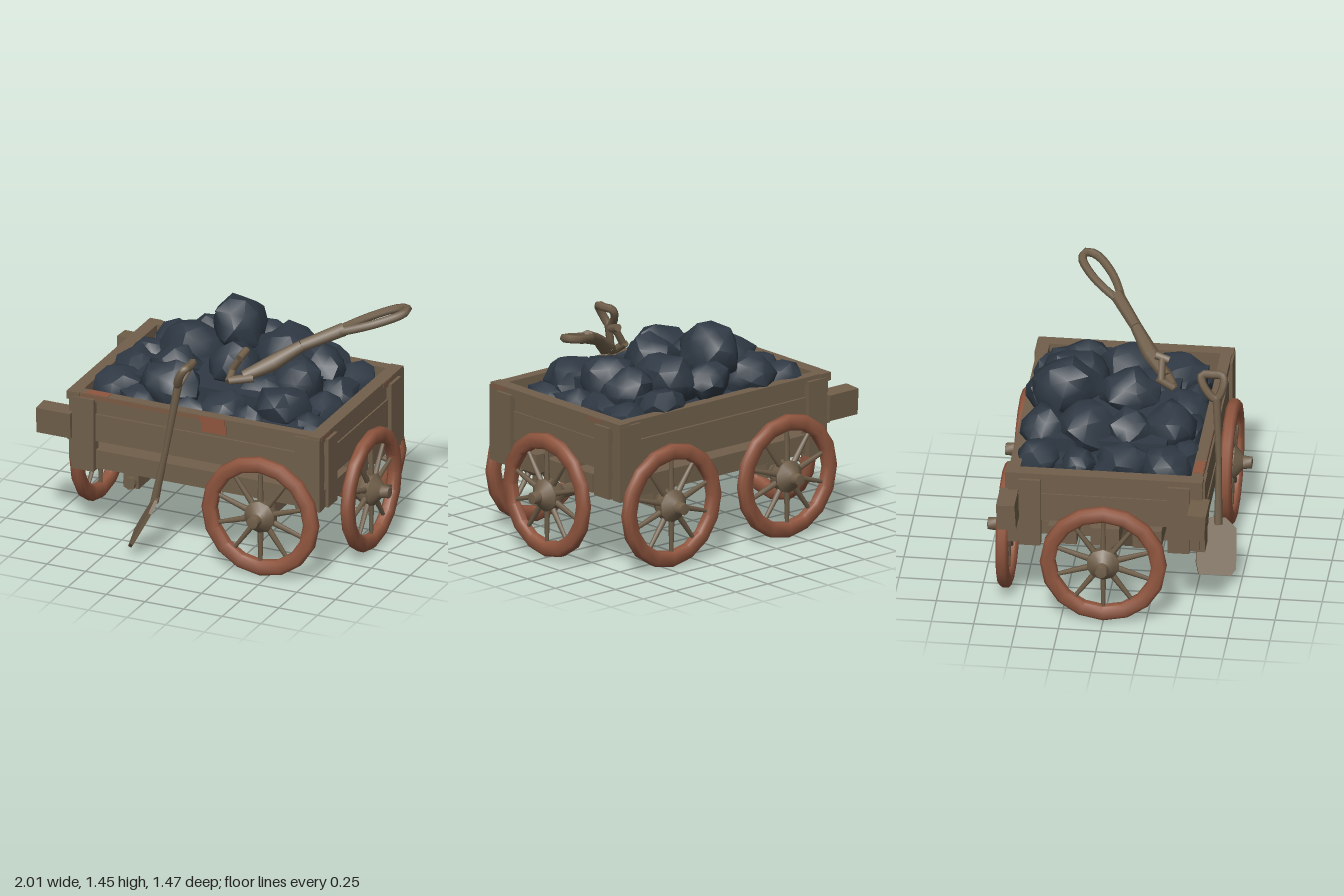
import * as THREE from 'three';
import { toCreasedNormals } from 'three/addons/utils/BufferGeometryUtils.js';

const mat = (name, color) => {
  const m = new THREE.MeshStandardMaterial({ color });
  m.name = name;
  return m;
};

export function createModel() {
  const model = new THREE.Group();
  model.name = 'coalCart';
  const wood = mat('weatheredWood', 0x705f4a);
  const rust = mat('rustyIron', 0x90563f);
  const stained = mat('rustStainedWood', 0x7c5a45);
  const coalMat = mat('coal', 0x303a45);

  const add = (name, geo, material, parent = model) => {
    const m = new THREE.Mesh(geo, material);
    m.name = name;
    parent.add(m);
    return m;
  };
  // box given by its extents
  const box = (name, x0, x1, y0, y1, z0, z1, material = wood) => {
    const m = add(name, new THREE.BoxGeometry(x1 - x0, y1 - y0, Math.abs(z1 - z0)), material);
    m.position.set((x0 + x1) / 2, (y0 + y1) / 2, (z0 + z1) / 2);
    return m;
  };
  // tapered rod between two points
  const rod = (name, a, b, ra, rb, parent = model, sides = 7) => {
    const p = new THREE.Vector3(...a), q = new THREE.Vector3(...b);
    const d = q.clone().sub(p);
    const m = add(name, new THREE.CylinderGeometry(rb, ra, d.length(), sides), wood, parent);
    m.position.copy(p).add(q).multiplyScalar(0.5);
    m.quaternion.setFromUnitVectors(new THREE.Vector3(0, 1, 0), d.normalize());
    return m;
  };
  // closed ring through points
  const ring = (name, pts, r, parent) => add(name,
    new THREE.TubeGeometry(new THREE.CatmullRomCurve3(pts, true), 24, r, 6, true), wood, parent);
  const lathe = (pts, n, crease) => toCreasedNormals(
    new THREE.LatheGeometry(pts.map(p => new THREE.Vector2(...p)), n).rotateX(Math.PI / 2), crease);

  // ---- wheels: rim, hub and ten spokes, outer side facing +z
  const rimGeo = lathe([[0.284, -0.02], [0.302, -0.035], [0.355, -0.035], [0.374, -0.018],
    [0.374, 0.018], [0.355, 0.035], [0.302, 0.035], [0.284, 0.02], [0.284, -0.02]], 16, 0.9);
  const hubGeo = lathe([[0, -0.09], [0.06, -0.09], [0.095, -0.035], [0.1, 0.02], [0.06, 0.055],
    [0.04, 0.07], [0.035, 0.12], [0, 0.125]], 10, 0.7);
  const wheel = (name, x, y, z, turn) => {
    const g = new THREE.Group();
    g.name = name;
    add('rim', rimGeo, rust, g);
    add('hub', hubGeo, wood, g);
    for (let i = 0; i < 10; i++) {
      const a = Math.PI / 2 + i * Math.PI / 5, c = Math.cos(a), s = Math.sin(a);
      rod('spoke', [c * 0.08, s * 0.08, 0], [c * 0.3, s * 0.3, 0], 0.019, 0.012, g, 6);
    }
    g.position.set(x, y, z);
    g.rotation.y = turn;
    model.add(g);
  };
  wheel('frontWheel', 0.447, 0.378, 0.605, 0);
  wheel('backWheelLeft', 0.445, 0.378, -0.61, Math.PI);
  wheel('backWheelRight', -0.452, 0.378, -0.61, Math.PI);
  wheel('leftEndWheel', 0.882, 0.388, 0, Math.PI / 2);
  wheel('rightEndWheel', -0.87, 0.388, 0, -Math.PI / 2);

  // ---- undercarriage: axles and floor beams
  for (const s of [-1, 1]) {
    box('crossAxle', s * 0.44 - 0.05, s * 0.44 + 0.05, 0.35, 0.44, -0.5, 0.5);
    rod('axleEnd', [s * 0.44, 0.388, -0.6], [s * 0.44, 0.388, s > 0 ? 0.6 : 0.53], 0.04, 0.04);
    rod('endAxle', [s * 0.45, 0.388, 0], [s * 0.87, 0.388, 0], 0.045, 0.04);
  }
  // bearing block, narrower at the bottom
  add('axleBlock', new THREE.CylinderGeometry(0.128, 0.085, 0.16, 4, 1).rotateY(Math.PI / 4), wood)
    .position.set(-0.44, 0.385, 0.12);
  for (const z of [-0.5, -0.25, 0, 0.25, 0.5]) {
    const half = Math.abs(z) === 0.5 ? 0.06 : 0.085;
    box('floorBeam', -0.8, 0.82, 0.465, 0.58, z - half, z + half);
  }

  // ---- body: planked sides, ends, posts and top rail
  for (const s of [-1, 1]) {
    box('lowerSidePlank', -0.8, 0.8, 0.64, 0.81, s * 0.505, s * 0.565);
    box('upperSidePlank', -0.78, 0.8, 0.81, 0.905, s * 0.505, s * 0.55);
    box('sideRail', -0.82, 0.81, 0.89, 0.935, s * 0.505, s * 0.57);
    box('sidePost', -0.78, -0.64, 0.45, 0.91, s * 0.52, s * 0.59);
    box('sidePost', 0.66, 0.82, 0.46, 0.92, s * 0.52, s * 0.585);
    // shaft stubs jutting out at the right end
    box('shaftStub', -1, -0.78, 0.65, 0.81, s * 0.505, s * 0.615).rotation.x = s * 0.06;
  }
  for (const s of [-1, 1]) {
    const end = (n, a, b, y0, y1, z0, z1) =>
      box(n, Math.min(s * a, s * b), Math.max(s * a, s * b), y0, y1, z0, z1);
    end('lowerEndPlank', 0.75, 0.815, 0.625, 0.8, -0.575, 0.58);
    end('upperEndPlank', 0.75, 0.805, 0.8, 0.91, -0.57, 0.575);
    end('endRail', 0.74, 0.82, 0.885, 0.935, -0.58, 0.58);
    for (const z of [-0.44, 0.44]) end('endPost', 0.77, 0.84, 0.465, 0.9, z - 0.065, z + 0.065);
  }
  // rust stains on the rails
  box('rustStain', 0.04, 0.2, 0.825, 0.888, 0.548, 0.554, rust);
  box('rustStain', 0.04, 0.2, 0.892, 0.932, 0.568, 0.573, rust);
  box('rustStain', -0.7, -0.56, 0.932, 0.938, 0.51, 0.568, rust);
  box('faintStain', -0.78, 0.04, 0.905, 0.932, 0.568, 0.573, stained);
  for (const z of [0.5, -0.36]) box('faintStain', 0.818, 0.823, 0.905, 0.932, z - 0.06, z + 0.06, stained);

  // ---- coal: a stepped bed with lumps heaped on top
  const lump = seed => {
    const g = new THREE.IcosahedronGeometry(1, 1);
    const p = g.attributes.position, v = new THREE.Vector3();
    for (let i = 0; i < p.count; i++) {
      v.fromBufferAttribute(p, i);
      const h = Math.sin(Math.round(v.x * 50) * 12.99 + Math.round(v.y * 50) * 78.23
        + Math.round(v.z * 50) * 37.72 + seed * 4.1) * 437.58;
      v.multiplyScalar(0.8 + 0.32 * (h - Math.floor(h)));
      p.setXYZ(i, v.x, v.y, v.z);
    }
    g.rotateX(seed * 1.3).rotateY(seed * 2.1);
    return toCreasedNormals(g, 0.8);
  };
  box('coalBed', -0.64, 0.64, 0.66, 0.91, -0.46, 0.45, coalMat);
  box('coalBed', -0.5, 0.52, 0.91, 1.0, -0.4, 0.33, coalMat);
  // x, z, top height, half width, half depth
  const lumps = [
    [-0.56, -0.42, 1.02, 0.13, 0.12], [-0.33, -0.41, 1.12, 0.17, 0.13], [-0.11, -0.31, 1.31, 0.15, 0.2],
    [0.2, -0.28, 1.19, 0.17, 0.2], [0.6, -0.37, 0.99, 0.12, 0.15], [-0.62, -0.18, 1.0, 0.11, 0.1],
    [-0.35, -0.16, 1.17, 0.18, 0.17], [0.45, -0.24, 1.13, 0.15, 0.14], [0.02, 0.05, 1.2, 0.16, 0.16],
    [-0.34, 0.09, 1.12, 0.15, 0.13], [-0.59, 0.08, 1.05, 0.13, 0.15], [-0.59, 0.33, 1.03, 0.14, 0.15],
    [-0.26, 0.33, 1.13, 0.17, 0.15], [0.1, 0.36, 1.02, 0.15, 0.14], [0.4, 0.0, 1.14, 0.16, 0.16],
    [0.43, 0.28, 1.08, 0.16, 0.16], [0.63, 0.32, 0.95, 0.11, 0.15], [0.61, 0.06, 0.97, 0.12, 0.15],
    [0.23, 0.15, 1.06, 0.16, 0.15], [-0.42, 0.43, 0.98, 0.12, 0.08], [0.28, 0.42, 0.97, 0.12, 0.08],
    [0.02, -0.45, 1.14, 0.14, 0.11], [0.38, -0.45, 1.05, 0.14, 0.1], [0.58, -0.16, 1.0, 0.13, 0.13],
    [-0.1, 0.44, 0.97, 0.13, 0.07],
  ];
  lumps.forEach(([x, z, top, w, d], i) => {
    const m = add('coalLump', lump(i + 1), coalMat);
    const h = Math.min(0.17, (w + d) / 2);
    m.scale.set(w * 1.1, h, d * 1.1);
    m.position.set(x, top - h * 0.97, z);
  });
  // lumps that have slipped down between the floor beams
  for (const [x, z] of [[-0.32, 0.13], [0.14, -0.12]]) {
    const m = add('coalLump', lump(x * 10 + 30), coalMat);
    m.scale.set(0.16, 0.14, 0.09);
    m.position.set(x, 0.55, z);
  }

  // ---- shovel leaning against the front
  const shovel = new THREE.Group();
  shovel.name = 'leaningShovel';
  model.add(shovel);
  rod('shaft', [-0.24, 0.34, 0.605], [-0.165, 0.7, 0.6], 0.026, 0.018, shovel);
  rod('shaft', [-0.165, 0.7, 0.6], [-0.1, 1.1, 0.58], 0.018, 0.026, shovel);
  const gripPts = [[-0.1, 1.1, 0.575], [-0.075, 1.17, 0.615], [-0.045, 1.225, 0.61],
    [-0.035, 1.228, 0.545], [-0.045, 1.225, 0.485], [-0.075, 1.17, 0.5]];
  ring('grip', gripPts.map(p => new THREE.Vector3(...p)), 0.025, shovel);
  const bladeShape = new THREE.Shape([[-0.12, -0.13], [-0.09, -0.17], [0.1, -0.17], [0.12, -0.1],
    [0.12, 0.11], [0.04, 0.17], [-0.04, 0.17], [-0.11, 0.11]].map(p => new THREE.Vector2(...p)));
  const bladeGeo = new THREE.ExtrudeGeometry(bladeShape, { depth: 0.02, bevelEnabled: false })
    .translate(0, 0, -0.01).rotateY(Math.PI / 2 + 0.28).rotateZ(-0.5);
  add('blade', bladeGeo, wood, shovel).position.set(-0.3, 0.225, 0.605);

  // ---- looped tool lying across the heap
  const tool = new THREE.Group();
  tool.name = 'loopedTool';
  model.add(tool);
  rod('handle', [0.17, 1.08, 0.25], [0.31, 1.15, 0.14], 0.035, 0.05, tool);
  rod('handle', [0.31, 1.15, 0.14], [0.45, 1.245, 0.04], 0.05, 0.036, tool);
  rod('handle', [0.45, 1.245, 0.04], [0.66, 1.335, -0.1], 0.036, 0.042, tool);
  const from = new THREE.Vector3(0.62, 1.32, -0.07), to = new THREE.Vector3(0.972, 1.435, -0.315);
  const across = new THREE.Vector3(0.545, 0, 0.838);
  const loopPts = [[0, 0], [0.25, 0.04], [0.6, 0.062], [0.92, 0.045], [1, 0],
    [0.92, -0.045], [0.6, -0.062], [0.25, -0.04]]
    .map(([t, w]) => from.clone().lerp(to, t).addScaledVector(across, w));
  ring('loop', loopPts, 0.026, tool);
  rod('hookBar', [0.23, 1.08, 0.24], [0.1, 1.06, 0.3], 0.03, 0.025, tool);
  rod('hookSide', [0.1, 1.05, 0.3], [0.09, 1.11, 0.21], 0.025, 0.022, tool);
  rod('hookPeg', [0.09, 1.1, 0.23], [0.155, 1.21, 0.23], 0.022, 0.022, tool);
  rod('hookKnob', [0.155, 1.2, 0.27], [0.165, 1.225, 0.19], 0.024, 0.024, tool);
  return model;
}
